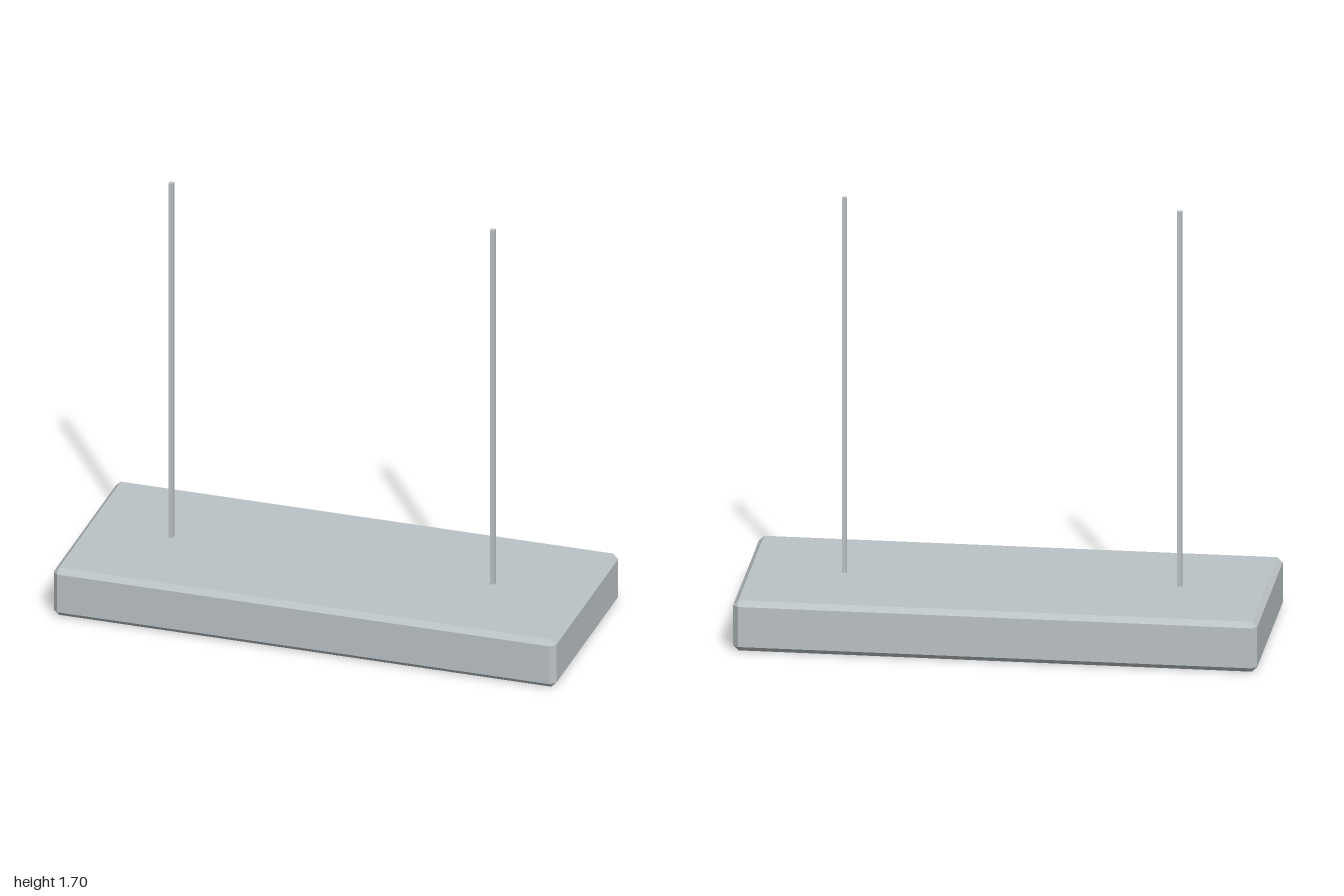
import * as THREE from 'three';

const steel = new THREE.MeshStandardMaterial({ color: 0xbcc3c7 });
steel.name = 'brushedGrey';

// Eight-point rectangular ring; c is the corner cut (0 gives a plain rectangle)
function ring(hx, hz, y, c = 0) {
  const pts = [];
  for (const [sx, sz] of [[1, 1], [1, -1], [-1, -1], [-1, 1]]) {
    const a = [sx * (hx - c), y, sz * hz];
    const b = [sx * hx, y, sz * (hz - c)];
    pts.push(...(sx * sz > 0 ? [a, b] : [b, a]));
  }
  return pts;
}

// Skin a stack of rings with flat facets, leaving out collapsed triangles
function loft(rings) {
  const pos = [];
  const same = (p, q) => p.every((v, i) => Math.abs(v - q[i]) < 1e-6);
  const tri = (a, b, c) => {
    if (!same(a, b) && !same(b, c) && !same(a, c)) pos.push(...a, ...b, ...c);
  };
  for (let r = 0; r < rings.length - 1; r++) {
    const lo = rings[r], hi = rings[r + 1];
    for (let i = 0; i < 8; i++) {
      const j = (i + 1) % 8;
      tri(lo[i], lo[j], hi[j]);
      tri(lo[i], hi[j], hi[i]);
    }
  }
  const g = new THREE.BufferGeometry();
  g.setAttribute('position', new THREE.Float32BufferAttribute(pos, 3));
  g.computeVertexNormals();
  return g;
}

export function createModel() {
  const model = new THREE.Group();
  model.name = 'hangingLamp';

  // Chamfered housing with a shallow recess in its underside
  const W = 1, D = 0.4, H = 0.2, bevel = 0.02;
  const housing = new THREE.Mesh(loft([
    ring(0, 0, 0.045),
    ring(0.92, 0.35, 0.045),
    ring(0.92, 0.35, 0),
    ring(W - bevel, D - bevel, 0),
    ring(W, D, bevel, bevel),
    ring(W, D, H - bevel, bevel),
    ring(W - bevel, D - bevel, H),
    ring(0, 0, H),
  ]), steel);
  housing.name = 'housing';
  model.add(housing);

  // Square suspension rods
  const rodGeometry = new THREE.BoxGeometry(0.018, 1.5, 0.018);
  for (const [name, x] of [['rightRod', -0.655], ['leftRod', 0.624]]) {
    const rod = new THREE.Mesh(rodGeometry, steel);
    rod.name = name;
    rod.position.set(x, H + 0.75, 0);
    model.add(rod);
  }
  return model;
}
